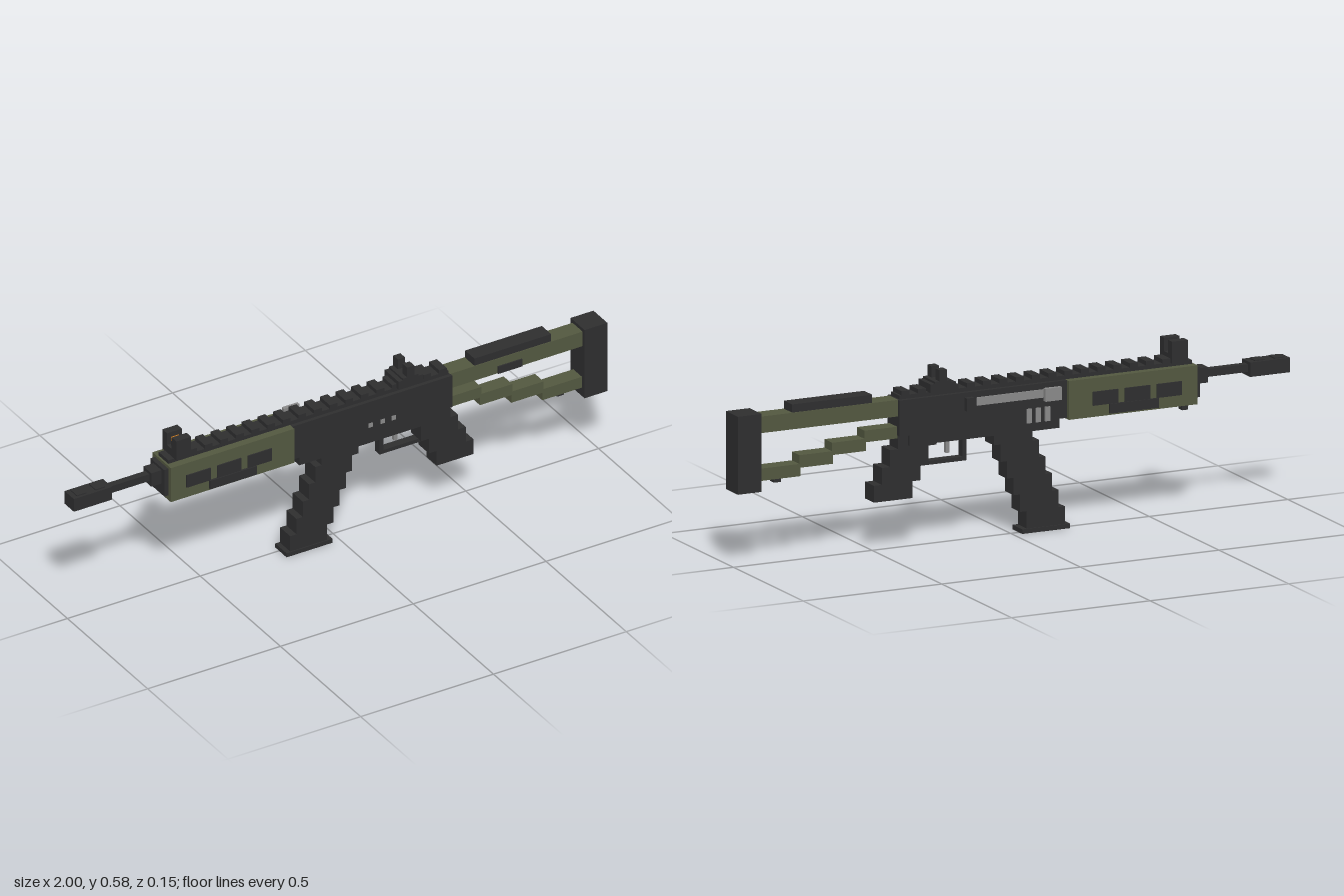
import * as THREE from 'three';

const material = (name, color) => {
  const m = new THREE.MeshStandardMaterial({ color });
  m.name = name;
  return m;
};

export function createModel() {
  const dark = material('dark polymer', 0x2e2e2f);
  const green = material('olive green', 0x535840);
  const grey = material('bare steel', 0x898989);
  const orange = material('sight orange', 0xcc7a1e);
  const root = new THREE.Group();
  root.name = 'blockRifle';
  const mid = 0.0115; // the body's centre plane in z

  // box from its limits on each axis
  const box = (name, mat, x0, x1, y0, y1, z0, z1) => {
    const mesh = new THREE.Mesh(new THREE.BoxGeometry(x1 - x0, y1 - y0, z1 - z0), mat);
    mesh.position.set((x0 + x1) / 2, (y0 + y1) / 2, (z0 + z1) / 2);
    mesh.name = name;
    root.add(mesh);
    return mesh;
  };
  // box centred on the body plane, with half width w
  const slab = (name, mat, x0, x1, y0, y1, w) => box(name, mat, x0, x1, y0, y1, mid - w, mid + w);

  // barrel and muzzle
  slab('muzzle', dark, -1, -0.856, 0.427, 0.475, 0.029);
  for (const x of [-0.965, -0.895]) slab('muzzleRidge', dark, x - 0.018, x + 0.018, 0.425, 0.479, 0.02);
  slab('barrel', dark, -0.86, -0.7, 0.44, 0.466, 0.012);
  slab('barrelCollar', dark, -0.706, -0.665, 0.425, 0.476, 0.025);
  slab('handguardCap', dark, -0.668, -0.652, 0.385, 0.485, 0.043);

  // handguard with dark slots on both sides
  slab('handguard', green, -0.652, -0.187, 0.366, 0.495, 0.057);
  for (const x of [-0.594, -0.479, -0.364]) slab('handguardSlot', dark, x, x + 0.091, 0.404, 0.45, 0.061);
  slab('handguardGripPanel', dark, -0.508, -0.332, 0.372, 0.404, 0.0645);
  box('slingStud', dark, -0.62, -0.6, 0.35, 0.367, -0.038, -0.01);

  // receiver
  slab('upperReceiver', dark, -0.187, 0.417, 0.44, 0.495, 0.0435);
  slab('lowerReceiver', dark, -0.16, 0.38, 0.34, 0.44, 0.0435);
  slab('receiverRear', dark, 0.38, 0.417, 0.375, 0.44, 0.0435);
  slab('receiverFront', dark, -0.187, -0.16, 0.37, 0.44, 0.0435);
  for (const x of [0.1, 0.145, 0.187]) box('receiverPin', grey, x, x + 0.016, 0.399, 0.415, 0.05, 0.057);

  // bolt side: ejection strip, charging handle, three vents
  box('ejectionStrip', grey, -0.12, 0.14, 0.448, 0.475, -0.037, -0.028);
  box('handleShaft', grey, -0.132, -0.104, 0.45, 0.479, -0.064, -0.03);
  box('handleKnob', grey, -0.147, -0.088, 0.444, 0.487, -0.076, -0.062);
  box('boltStop', dark, 0.155, 0.182, 0.436, 0.479, -0.048, -0.03);
  for (const x of [-0.125, -0.092, -0.059]) box('sideVent', grey, x, x + 0.018, 0.368, 0.416, -0.036, -0.028);

  // top rail
  slab('railBase', dark, -0.645, 0.41, 0.494, 0.508, 0.03);
  for (let i = 0; i < 17; i++) {
    const x = -0.567 + i * 0.0588;
    slab('railTooth', dark, x, x + 0.029, 0.506, 0.522, 0.031);
  }

  // sights: base block with two ears
  const sight = (name, bx0, bx1, ex0, ex1) => {
    slab(name + 'Base', dark, bx0, bx1, 0.507, 0.536, 0.0435);
    for (const s of [-1, 1]) {
      const c = mid + s * 0.029;
      box(name + 'Ear', dark, ex0, ex1, 0.536, 0.58, c - 0.0145, c + 0.0145);
    }
  };
  sight('frontSight', -0.623, -0.567, -0.623, -0.567);
  sight('rearSight', 0.214, 0.305, 0.246, 0.273);
  slab('rearSightStep', dark, 0.23, 0.289, 0.535, 0.543, 0.0435);
  slab('frontSightPost', dark, -0.613, -0.583, 0.536, 0.552, 0.0075);
  slab('frontSightBead', orange, -0.613, -0.583, 0.552, 0.567, 0.0075);

  // stepped magazine
  for (let i = 0; i < 6; i++) {
    const x = -0.187 + i * 0.0236, y = 0.015 + i * 0.058;
    slab('magazineStep', dark, x, x + 0.139, y, y + 0.058, 0.0315);
  }
  slab('magazineBase', dark, -0.203, -0.03, 0, 0.015, 0.0355);

  // stepped pistol grip
  for (let i = 0; i < 4; i++) {
    const x = 0.364 - i * 0.029, y = 0.163 + i * 0.056;
    slab('gripStep', dark, x, x + 0.139, y, y + 0.056, 0.0315);
  }

  // trigger and guard
  slab('triggerGuardFront', dark, 0.16, 0.175, 0.262, 0.345, 0.0145);
  slab('triggerGuardBottom', dark, 0.16, 0.34, 0.262, 0.275, 0.0145);
  slab('trigger', grey, 0.219, 0.231, 0.292, 0.345, 0.0075);

  // stock: straight top bar, stepped lower brace, butt pad
  slab('stockBar', green, 0.415, 0.914, 0.44, 0.495, 0.0315);
  slab('cheekPad', dark, 0.508, 0.797, 0.495, 0.522, 0.029);
  box('stockLatch', dark, 0.594, 0.685, 0.44, 0.467, 0.04, 0.048);
  const brace = [
    [0.41, 0.535, 0.366, 0.405], [0.53, 0.652, 0.337, 0.378],
    [0.648, 0.77, 0.308, 0.35], [0.765, 0.914, 0.28, 0.321],
  ];
  for (const b of brace) slab('stockBrace', green, ...b, 0.027);
  slab('braceStud', dark, 0.829, 0.855, 0.265, 0.281, 0.013);
  slab('buttPad', dark, 0.914, 1, 0.248, 0.507, 0.0435);

  return root;
}
